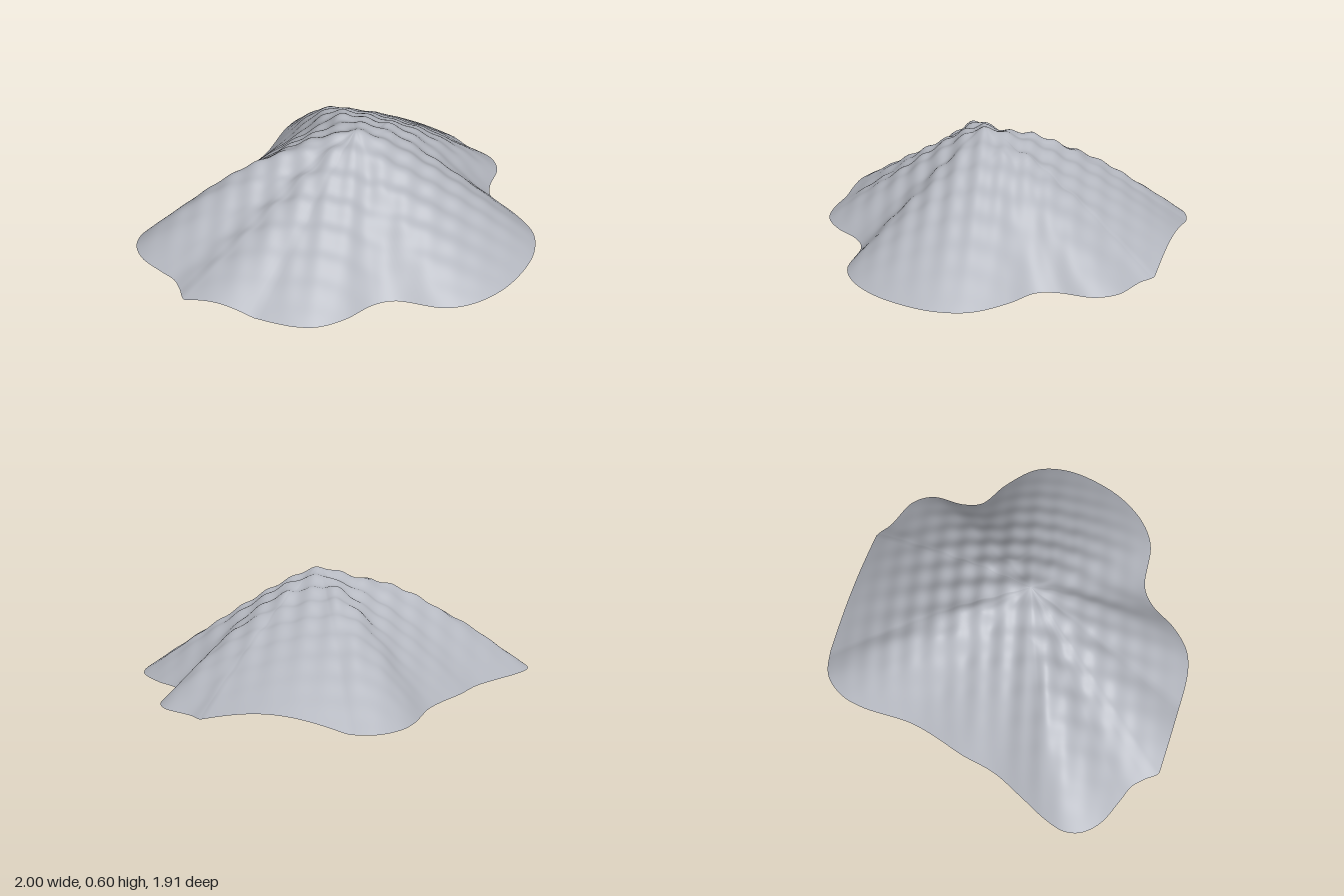
import * as THREE from 'three';

// Foot of the mountain, clockwise seen from above: x, z, and how far the slope above bulges
const FOOT = [
  [-0.54, 0.955, 0], [-0.6, 0.89, 0.005], [-0.66, 0.835, 0.01], [-0.75, 0.8, 0.02], [-0.9, 0.735, 0.05],
  [-0.98, 0.65, 0.07], [-1, 0.56, 0.08], [-0.97, 0.45, 0.08], [-0.9, 0.3, 0.07], [-0.82, 0.12, 0.065],
  [-0.78, -0.08, 0.06], [-0.73, -0.25, 0.06], [-0.7, -0.4, 0.06], [-0.7, -0.68, 0.07], [-0.67, -0.81, 0.07],
  [-0.59, -0.915, 0.07], [-0.45, -0.955, 0.06], [-0.2, -0.955, 0.04], [0.08, -0.955, 0.03],
  [0.27, -0.955, 0.04], [0.36, -0.9, 0.05], [0.53, -0.83, 0.035], [0.6, -0.73, 0.035], [0.61, -0.55, 0.06],
  [0.65, -0.45, 0.065], [0.8, -0.36, 0.045], [0.95, -0.22, 0.02], [1, -0.05, 0.01], [0.98, 0.15, 0],
  [0.92, 0.32, -0.005], [0.82, 0.46, -0.01], [0.7, 0.54, -0.01], [0.45, 0.58, 0.01], [0.36, 0.65, 0.01],
  [0.27, 0.8, 0], [0.17, 0.9, -0.005], [0.07, 0.94, -0.005], [-0.08, 0.955, 0], [-0.35, 0.955, 0],
];
const PEAK = { x: 0.03, z: 0.04, height: 0.635 };
const SECTORS = 320;
const RINGS = 64;

// Arched lift of the rim between two x positions, where the slope is cut off straight
function arch(x, from, to, height) {
  const s = (x - from) / (to - from);
  return s > 0 && s < 1 ? height * Math.sin(Math.PI * s) : 0;
}

function rimHeight(x, z) {
  if (z < -0.95) return arch(x, -0.47, 0.29, 0.06);
  if (z > 0.945) return arch(x, -0.54, -0.16, 0.035);
  return 0;
}

// Two crossing sets of ripples that fade out towards the foot
function ripple(x, z, t) {
  const across = 0.24 * x + 0.97 * z;
  const along = 0.97 * x - 0.24 * z;
  const fade = Math.min(1, 1.6 * (1 - t));
  return fade * (0.008 * Math.cos(52 * (across - 0.045)) + 0.006 * Math.cos(47 * (along - 0.04)));
}

function mountainGeometry() {
  // The bulge rides along as the y coordinate of the foot curve
  const curve = new THREE.CatmullRomCurve3(
    FOOT.map(([x, z, bulge]) => new THREE.Vector3(x, bulge, z)), true, 'centripetal');
  const positions = [];
  const indices = [];

  // Rings of points from the summit out to the foot
  for (let ring = 0; ring <= RINGS; ring++) {
    const t = ring / RINGS;
    const cone = 1 - Math.sqrt(t * t + 0.006 * (1 - t));
    for (let i = 0; i < SECTORS; i++) {
      const foot = curve.getPoint(i / SECTORS);
      foot.z = THREE.MathUtils.clamp(foot.z, -0.955, 0.955);
      const x = PEAK.x + (foot.x - PEAK.x) * t;
      const z = PEAK.z + (foot.z - PEAK.z) * t;
      const y = PEAK.height * cone + foot.y * Math.sin(Math.PI * t) * Math.min(1, t * 4)
        + rimHeight(foot.x, foot.z) * t + ripple(x, z, t);
      positions.push(x, Math.max(0, y), z);
    }
  }

  for (let ring = 0; ring < RINGS; ring++) {
    for (let i = 0; i < SECTORS; i++) {
      const next = (i + 1) % SECTORS;
      const a = ring * SECTORS + i;
      const b = ring * SECTORS + next;
      const c = a + SECTORS;
      const d = b + SECTORS;
      if (ring > 0) indices.push(a, b, c);
      indices.push(b, d, c);
    }
  }

  const geometry = new THREE.BufferGeometry();
  geometry.setAttribute('position', new THREE.Float32BufferAttribute(positions, 3));
  geometry.setIndex(indices);
  geometry.computeVertexNormals();
  return geometry;
}

export function createModel() {
  const rock = new THREE.MeshStandardMaterial({ color: 0xb4b7bf, side: THREE.DoubleSide });
  rock.name = 'grey rock';

  const mountain = new THREE.Mesh(mountainGeometry(), rock);
  mountain.name = 'mountain';

  const group = new THREE.Group();
  group.name = 'mountainModel';
  group.add(mountain);
  return group;
}
